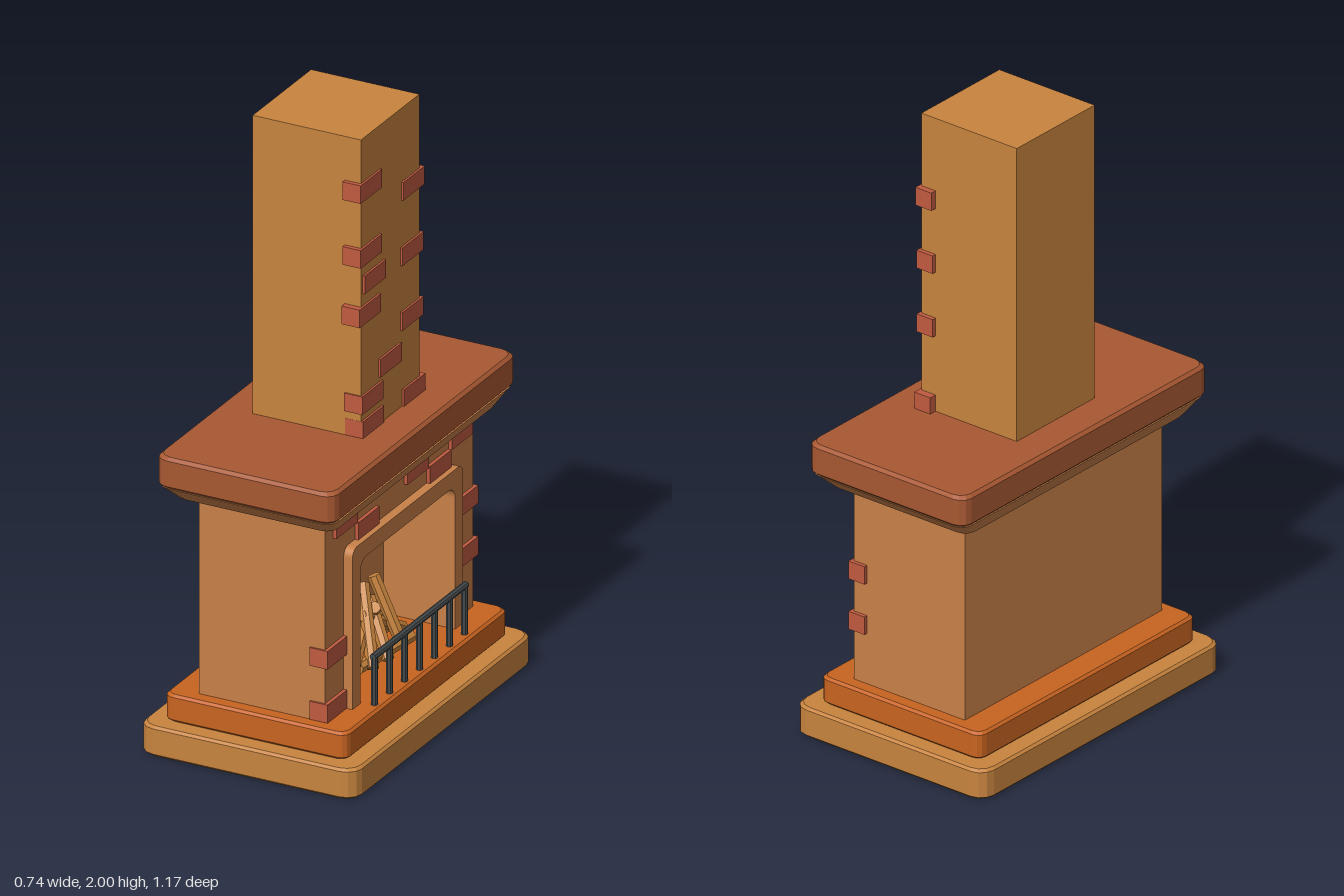
import * as THREE from 'three';

const mat = (color) => new THREE.MeshStandardMaterial({ color, flatShading: true });
const sand = mat(0xc8843e), clay = mat(0xc88048), orange = mat(0xc86420);
const mantelRed = mat(0xa85832), brickRed = mat(0xc05a40), iron = mat(0x444a4c);

function add(parent, name, geometry, material, x = 0, y = 0, z = 0) {
  const mesh = new THREE.Mesh(geometry, material);
  mesh.name = name;
  mesh.position.set(x, y, z);
  parent.add(mesh);
  return mesh;
}

// Stack of rounded rectangles; each level is [y, half width x, half width z, corner radius]
function loft(levels) {
  const seg = 3;
  const rings = levels.map(([y, hx, hz, r]) => {
    const ring = [];
    [[1, 1], [-1, 1], [-1, -1], [1, -1]].forEach(([sx, sz], q) => {
      for (let k = 0; k <= seg; k++) {
        const t = (q + k / seg) * Math.PI / 2;
        ring.push([sx * (hx - r) + r * Math.cos(t), y, sz * (hz - r) + r * Math.sin(t)]);
      }
    });
    return ring;
  });
  const n = rings[0].length, last = rings.length - 1, pos = [];
  const tri = (...corners) => corners.forEach((c) => pos.push(...c));
  for (let i = 0; i < n; i++) {
    const j = (i + 1) % n;
    for (let l = 0; l < last; l++) {
      tri(rings[l][i], rings[l + 1][i], rings[l + 1][j]);
      tri(rings[l][i], rings[l + 1][j], rings[l][j]);
    }
    tri([0, levels[0][0], 0], rings[0][i], rings[0][j]);
    tri([0, levels[last][0], 0], rings[last][j], rings[last][i]);
  }
  const g = new THREE.BufferGeometry();
  g.setAttribute('position', new THREE.Float32BufferAttribute(pos, 3));
  g.computeVertexNormals();
  return g;
}

// Slab with slightly bevelled top and bottom edges
const slab = (y0, y1, hx, hz, r, b) => loft([
  [y0, hx - b, hz - b, r], [y0 + b, hx, hz, r], [y1 - b, hx, hz, r], [y1, hx - b, hz - b, r]]);

// Wall with an arched notch open at the floor, facing +x
function archedWall(hw, top, r, holeHw, holeTop, holeR, x0, x1, floor = 0.19) {
  const s = new THREE.Shape();
  s.moveTo(-holeHw, floor);
  s.lineTo(-hw, floor);
  s.lineTo(-hw, top - r);
  if (r) s.absarc(-hw + r, top - r, r, Math.PI, Math.PI / 2, true);
  s.lineTo(hw - r, top);
  if (r) s.absarc(hw - r, top - r, r, Math.PI / 2, 0, true);
  s.lineTo(hw, floor);
  s.lineTo(holeHw, floor);
  s.lineTo(holeHw, holeTop - holeR);
  s.absarc(holeHw - holeR, holeTop - holeR, holeR, 0, Math.PI / 2, false);
  s.lineTo(-holeHw + holeR, holeTop);
  s.absarc(-holeHw + holeR, holeTop - holeR, holeR, Math.PI / 2, Math.PI, false);
  const g = new THREE.ExtrudeGeometry(s, { depth: x1 - x0, bevelEnabled: false, curveSegments: 5 });
  return g.rotateY(Math.PI / 2).translate(x0, 0, 0);
}

// Round bar between two points
function rod(parent, name, a, b, radius, material, sides = 8) {
  const p = new THREE.Vector3(...a), q = new THREE.Vector3(...b);
  const dir = q.clone().sub(p);
  const m = add(parent, name, new THREE.CylinderGeometry(radius, radius, dir.length(), sides), material);
  m.position.copy(p).add(q).multiplyScalar(0.5);
  m.quaternion.setFromUnitVectors(new THREE.Vector3(0, 1, 0), dir.normalize());
}

export function createModel() {
  const model = new THREE.Group();
  model.name = 'fireplace';

  // Stepped base
  add(model, 'base', slab(0, 0.1, 0.37, 0.57, 0.05, 0.008), sand);
  add(model, 'hearthStep', slab(0.1, 0.19, 0.312, 0.515, 0.03, 0.008), orange);

  // Body: solid back, front wall with the firebox opening, raised surround
  add(model, 'bodyBack', new THREE.BoxGeometry(0.215, 0.67, 0.936), clay, -0.1075, 0.525, 0);
  add(model, 'bodyFront', archedWall(0.468, 0.86, 0, 0.3, 0.665, 0.04, 0, 0.215), clay);
  add(model, 'openingSurround', archedWall(0.35, 0.72, 0.03, 0.3, 0.665, 0.04, 0.21, 0.245), clay);

  // Mantel shelf over a tapered moulding
  add(model, 'mantelMoulding', loft([[0.853, 0.27, 0.525, 0.04], [0.905, 0.3, 0.58, 0.04]]), clay);
  add(model, 'mantelShelf', slab(0.905, 1.01, 0.305, 0.586, 0.04, 0.01), mantelRed);

  // Chimney
  add(model, 'chimney', new THREE.BoxGeometry(0.37, 0.99, 0.37), sand, 0, 1.505, 0);

  // Protruding bricks, listed as [z, y]
  const bricks = new THREE.Group();
  bricks.name = 'bricks';
  model.add(bricks);
  const brick = new THREE.BoxGeometry(0.062, 0.06, 0.135);
  const chimneyBricks = [
    [0.132, 1.825], [-0.138, 1.725], [0.132, 1.61], [0.106, 1.515], [-0.132, 1.51], [0.138, 1.415],
    [-0.132, 1.295], [0.005, 1.197], [0.122, 1.12], [0.118, 1.035], [-0.143, 1.035]];
  const bodyBricks = [
    [0.35, 0.81], [0.212, 0.747], [-0.1, 0.805], [-0.243, 0.747], [-0.38, 0.805],
    [-0.413, 0.56], [-0.413, 0.39], [0.407, 0.4], [0.407, 0.222]];
  chimneyBricks.forEach(([z, y]) => add(bricks, 'chimneyBrick', brick, brickRed, 0.161, y, z));
  bodyBricks.forEach(([z, y]) => add(bricks, 'bodyBrick', brick, brickRed, 0.196, y, z));

  // Iron fire guard
  const guard = new THREE.Group();
  guard.name = 'fireGuard';
  model.add(guard);
  for (let i = -3; i <= 3; i++) {
    rod(guard, 'guardBar', [0.285, 0.19, i * 0.095], [0.285, 0.35, i * 0.095], 0.011, iron);
  }
  rod(guard, 'guardRail', [0.285, 0.35, -0.295], [0.285, 0.35, 0.295], 0.011, iron);

  // Firewood heaped into a pile
  const wood = new THREE.Group();
  wood.name = 'firewood';
  model.add(wood);
  const logs = [
    [[0.16, 0.21, 0.2], [0.08, 0.34, -0.06]], [[0.05, 0.21, 0.17], [0.1, 0.3, -0.12]],
    [[0.18, 0.21, 0.1], [0.07, 0.41, -0.04]], [[0.17, 0.21, -0.1], [0.08, 0.42, -0.09]],
    [[0.12, 0.21, -0.2], [0.1, 0.34, 0.03]], [[0.05, 0.21, -0.15], [0.12, 0.35, -0.02]],
    [[0.19, 0.21, 0.02], [0.08, 0.36, -0.06]], [[0.17, 0.21, -0.16], [0.15, 0.22, 0.14]],
    [[0.07, 0.21, -0.18], [0.06, 0.21, 0.12]]];
  logs.forEach(([a, b]) => rod(wood, 'log', a, b, 0.02, sand, 7));

  return model;
}
